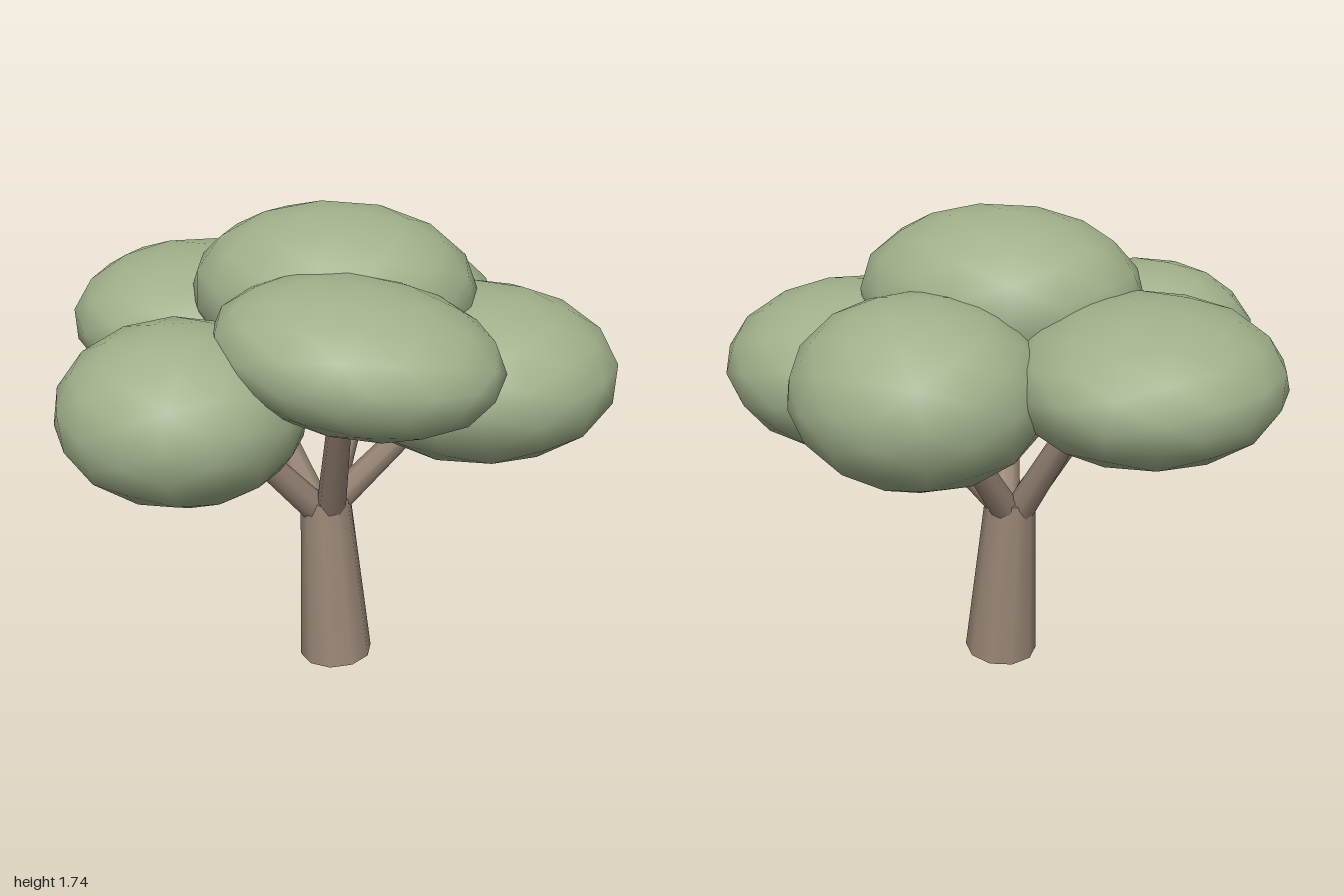
import * as THREE from 'three';

const leaf = new THREE.MeshStandardMaterial({ color: 0xa0af8a });
leaf.name = 'leaf green';
const bark = new THREE.MeshStandardMaterial({ color: 0x998676 });
bark.name = 'bark brown';

// Tapered round limb running between two points
function limb(name, from, to, r0, r1, sides) {
  const a = new THREE.Vector3(...from), b = new THREE.Vector3(...to);
  const dir = b.clone().sub(a);
  const mesh = new THREE.Mesh(new THREE.CylinderGeometry(r1, r0, dir.length(), sides), bark);
  mesh.position.copy(a).add(b).multiplyScalar(0.5);
  mesh.quaternion.setFromUnitVectors(new THREE.Vector3(0, 1, 0), dir.normalize());
  mesh.name = name;
  return mesh;
}

// Low-poly smooth ellipsoid: spun first so facets vary, then squashed and tilted
function clump(name, centre, radii, spin, tilt = [0, 0, 0]) {
  const geo = new THREE.IcosahedronGeometry(1, 2);
  geo.rotateY(spin).rotateX(spin * 0.7).scale(...radii);
  const mesh = new THREE.Mesh(geo, leaf);
  mesh.position.set(...centre);
  mesh.rotation.set(...tilt);
  mesh.name = name;
  return mesh;
}

export function createModel() {
  const tree = new THREE.Group();
  tree.name = 'tree';

  // Leaning trunk
  tree.add(limb('trunk', [0.02, 0.012, 0.028], [-0.024, 0.667, 0.008], 0.138, 0.093, 10));

  // Branches fanning out of the trunk top into each clump
  const branches = [
    ['frontBranch', [0.0, 0.62, 0.03], [0.09, 1.2, 0.36]],
    ['frontRightBranch', [-0.05, 0.62, 0.03], [-0.36, 1.1, 0.32]],
    ['backRightBranch', [-0.06, 0.62, 0.0], [-0.36, 1.15, -0.16]],
    ['leftBranch', [-0.01, 0.62, 0.0], [0.38, 1.05, -0.08]],
    ['backBranch', [-0.02, 0.62, -0.02], [0.08, 1.08, -0.36]],
  ];
  for (const [name, from, to] of branches) tree.add(limb(name, from, to, 0.055, 0.038, 8));

  // Foliage clumps
  const crown = new THREE.Group();
  crown.name = 'crown';
  crown.add(
    clump('topClump', [0, 1.45, -0.03], [0.5, 0.3, 0.41], 0.3),
    clump('leftClump', [0.5, 1.165, -0.08], [0.5, 0.305, 0.46], 0.9),
    clump('frontRightClump', [-0.41, 1.18, 0.5], [0.41, 0.295, 0.385], 0.5),
    clump('frontClump', [0.145, 1.37, 0.4], [0.475, 0.235, 0.38], 1.3, [0.05, 0, -0.14]),
    clump('backRightClump', [-0.56, 1.27, -0.25], [0.45, 0.26, 0.48], 0.7),
    clump('backClump', [0.13, 1.23, -0.48], [0.43, 0.315, 0.405], 1.7),
  );
  tree.add(crown);
  return tree;
}
